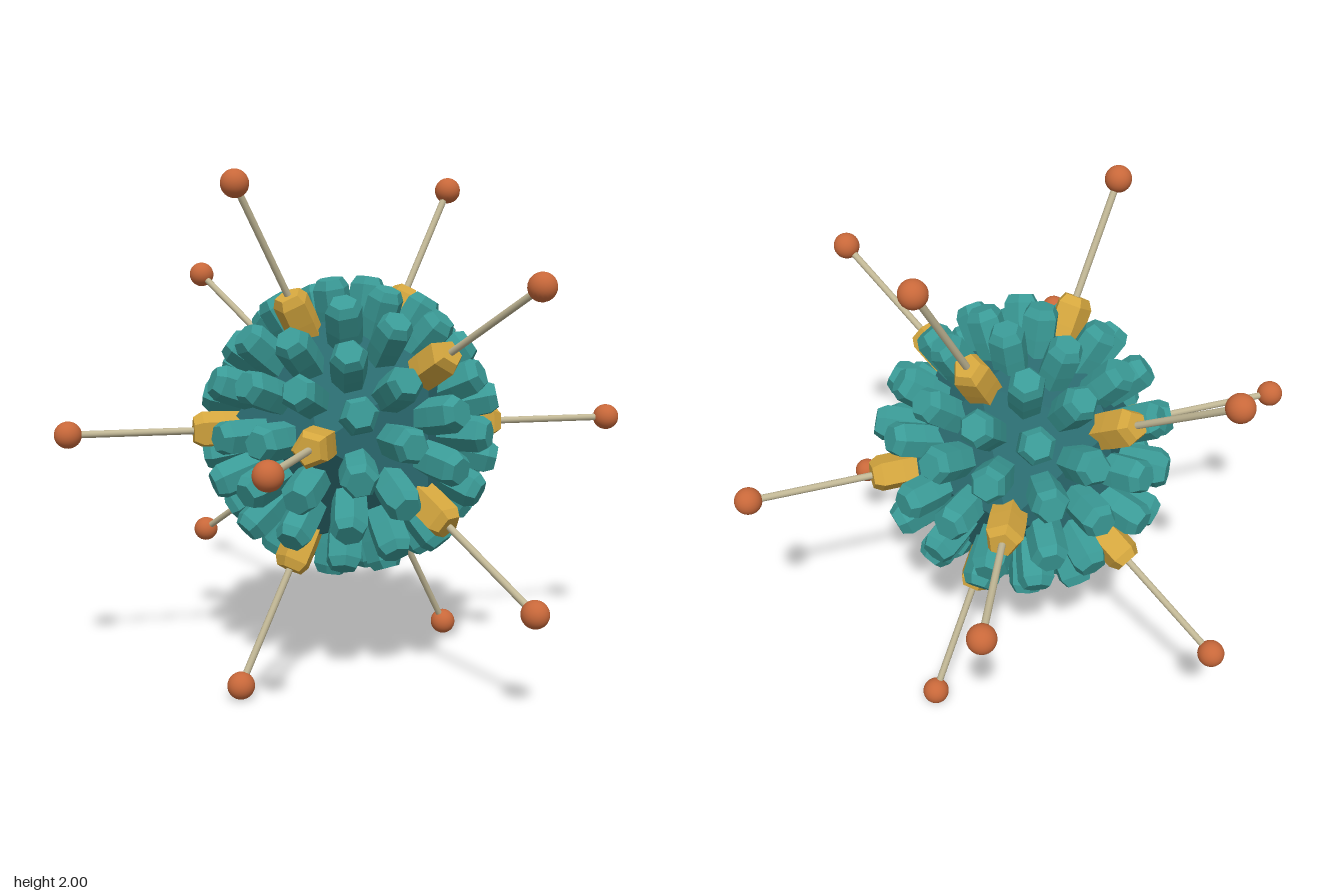
import * as THREE from 'three';

const mat = (name, color) => {
  const m = new THREE.MeshStandardMaterial({ color });
  m.name = name;
  return m;
};

// Faceted prism with a bevelled cap; y = 0 lies at the shell centre
function prism(sides, base, top, r) {
  const profile = [[0, base], [r * 0.9, base], [r, top - 0.12], [r, top - 0.035], [r * 0.72, top], [0, top]];
  const g = new THREE.LatheGeometry(profile.map(([x, y]) => new THREE.Vector2(x, y)), sides).toNonIndexed();
  g.computeVertexNormals();
  return g;
}

export function createModel() {
  const group = new THREE.Group();
  const core = mat('dark teal', 0x2b6b70);
  const teal = mat('teal', 0x3a9a96);
  const gold = mat('gold', 0xd4a63e);
  const beige = mat('beige', 0xc2b896);
  const orange = mat('orange', 0xc8683a);
  const up = new THREE.Vector3(0, 1, 0);
  const body = new THREE.Group();
  body.name = 'shell';
  body.position.y = 1;
  group.add(body);

  function add(name, geometry, material, dir, dist = 0) {
    const m = new THREE.Mesh(geometry, material);
    m.name = name;
    m.quaternion.setFromUnitVectors(up, dir);
    m.position.copy(dir).multiplyScalar(dist);
    body.add(m);
  }

  // Twelve icosahedron corner directions
  const t = (1 + Math.sqrt(5)) / 2;
  const corners = [];
  for (const a of [-1, 1]) for (const b of [-t, t]) {
    corners.push(new THREE.Vector3(a, b, 0), new THREE.Vector3(0, a, b), new THREE.Vector3(b, 0, a));
  }
  corners.forEach((c) => c.normalize());

  // Faceted inner core
  add('core', new THREE.IcosahedronGeometry(0.5, 0), core, up);

  // Corner blocks, each with a long fibre and a round tip
  const cornerBlock = prism(5, 0.36, 0.63, 0.075);
  const rod = new THREE.CylinderGeometry(0.014, 0.014, 0.53, 10);
  const ball = new THREE.SphereGeometry(0.053, 24, 16);
  for (const c of corners) {
    add('cornerBlock', cornerBlock, gold, c);
    add('fibre', rod, beige, c, 0.845);
    add('fibreTip', ball, orange, c, 1.113);
  }

  // Two blocks along each edge and one at the middle of each face
  const edgeBlock = prism(6, 0.35, 0.602, 0.073);
  const faceBlock = prism(6, 0.35, 0.592, 0.073);
  const near = (i, j) => corners[i].dot(corners[j]) > 0.4;
  const wFar = 0.4032, wNear = 0.7525; // spherical thirds of an edge
  for (let i = 0; i < 12; i++) for (let j = 0; j < 12; j++) {
    if (i === j || !near(i, j)) continue;
    const d = corners[i].clone().multiplyScalar(wNear).addScaledVector(corners[j], wFar).normalize();
    add('edgeBlock', edgeBlock, teal, d);
    for (let k = j + 1; k < 12; k++) {
      if (j > i && near(i, k) && near(j, k)) {
        add('faceBlock', faceBlock, teal, corners[i].clone().add(corners[j]).add(corners[k]).normalize());
      }
    }
  }
  return group;
}
